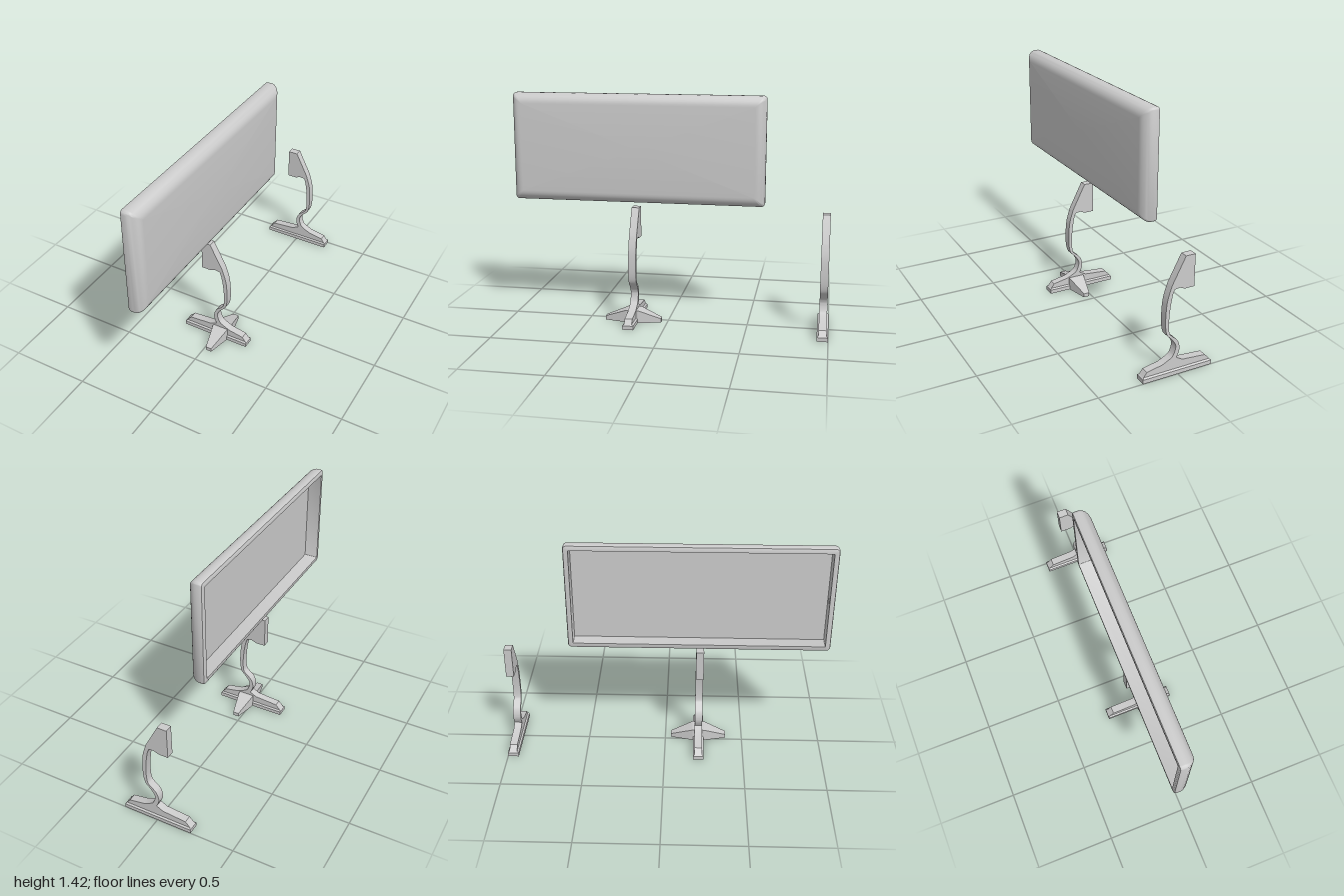
import * as THREE from 'three';
import { toCreasedNormals } from 'three/addons/utils/BufferGeometryUtils.js';
import { ConvexGeometry } from 'three/addons/geometries/ConvexGeometry.js';

const grey = new THREE.MeshStandardMaterial({ color: 0xcccccc });

function part(name, geometry) {
  const mesh = new THREE.Mesh(geometry, grey);
  mesh.name = name;
  return mesh;
}

// Hull of corner points, each mirrored to both sides in z
function mirroredHull(corners) {
  return new ConvexGeometry(corners.flatMap(([x, y, z]) =>
    [new THREE.Vector3(x, y, z), new THREE.Vector3(x, y, -z)]));
}

// Rounded rectangle across the panel at depth x, running anticlockwise from +x
function panelLoop(x, inset, radius) {
  const halfY = 0.339 - inset, halfZ = 0.795 - inset, steps = 5, loop = [];
  for (let corner = 0; corner < 4; corner++) {
    const right = corner === 0 || corner === 3 ? 1 : -1;
    const up = corner < 2 ? 1 : -1;
    for (let i = 0; i <= steps; i++) {
      const a = (corner + i / steps) * Math.PI / 2;
      loop.push([x,
        1.084 + up * (halfY - radius) + radius * Math.sin(a),
        0.205 - right * (halfZ - radius) - radius * Math.cos(a)]);
    }
  }
  return loop;
}

// Hollow panel shell: recess floor, recess wall, rim, rounded side, closed face
function panelGeometry() {
  const sections = [
    [-0.012, 0.032, 0.002], [-0.099, 0.032, 0.002], [-0.099, 0.012, 0.016],
    [-0.095, 0.004, 0.02], [-0.085, 0, 0.022],
  ];
  for (let i = 0; i <= 8; i++) {
    const a = i / 8 * Math.PI / 2;
    sections.push([-0.065 + 0.065 * Math.sin(a), 0.065 * (1 - Math.cos(a)), 0.022 - 0.002 * i]);
  }
  const loops = sections.map((s) => panelLoop(...s));
  const n = loops[0].length, positions = [];
  const tri = (...points) => points.forEach((p) => positions.push(...p));
  const first = loops[0], last = loops[loops.length - 1];
  for (let i = 0; i < n; i++) {
    const j = (i + 1) % n;
    tri([first[0][0], 1.084, 0.205], first[j], first[i]);
    for (let k = 0; k < loops.length - 1; k++) {
      tri(loops[k][i], loops[k][j], loops[k + 1][j]);
      tri(loops[k][i], loops[k + 1][j], loops[k + 1][i]);
    }
    tri([last[0][0], 1.084, 0.205], last[i], last[j]);
  }
  const geometry = new THREE.BufferGeometry();
  geometry.setAttribute('position', new THREE.Float32BufferAttribute(positions, 3));
  geometry.computeVertexNormals();
  return toCreasedNormals(geometry, 0.6);
}

// Stand silhouette: foot, S-shaped neck and bracket plate
function bracketGeometry() {
  const v = (points) => points.map(([x, y]) => new THREE.Vector2(x, y));
  const shape = new THREE.Shape();
  shape.moveTo(-0.215, 0.02);
  shape.lineTo(0.215, 0.02);
  shape.lineTo(0.215, 0.033);
  shape.lineTo(0.194, 0.061);
  shape.lineTo(0.096, 0.08);
  shape.lineTo(0.05, 0.102);
  shape.splineThru(v([[0.028, 0.12], [0.013, 0.162], [0.017, 0.192], [0.043, 0.228],
    [0.073, 0.264], [0.084, 0.34], [0.077, 0.463], [0.05, 0.557]]));
  shape.lineTo(-0.032, 0.716);
  shape.lineTo(-0.092, 0.716);
  shape.lineTo(-0.092, 0.522);
  shape.lineTo(-0.032, 0.522);
  shape.lineTo(0, 0.535);
  shape.lineTo(0.032, 0.531);
  shape.splineThru(v([[0.043, 0.5], [0.055, 0.433], [0.062, 0.343], [0.058, 0.275],
    [0.043, 0.249], [0.006, 0.215], [-0.01, 0.177], [-0.01, 0.14], [0.006, 0.102]]));
  shape.lineTo(-0.036, 0.079);
  shape.lineTo(-0.186, 0.066);
  shape.lineTo(-0.215, 0.033);
  const geometry = new THREE.ExtrudeGeometry(shape, { depth: 0.048, bevelEnabled: false, curveSegments: 4 });
  geometry.translate(0, 0, -0.024);
  return toCreasedNormals(geometry, 0.5);
}

function createStand(name, z) {
  const stand = new THREE.Group();
  stand.name = name;
  stand.position.z = z;
  stand.add(part('bracket', bracketGeometry()));
  // Plinth with a bevelled upper edge
  const corners = [-1, 1].flatMap((s) =>
    [[s * 0.223, 0, 0.034], [s * 0.223, 0.025, 0.034], [s * 0.215, 0.033, 0.024]]);
  stand.add(part('plinth', mirroredHull(corners)));
  return stand;
}

export function createModel() {
  const model = new THREE.Group();
  model.name = 'panelWithStands';
  model.add(part('panel', panelGeometry()));

  const mainStand = createStand('mainStand', 0.216);
  // Tapered feet reaching out to both sides of the main stand
  mainStand.add(part('crossFoot', mirroredHull([
    [-0.015, 0, 0.038], [0.085, 0, 0.038], [-0.015, 0.079, 0.038], [0.085, 0.079, 0.038],
    [0.016, 0, 0.178], [0.054, 0, 0.178], [0.016, 0.025, 0.178], [0.054, 0.025, 0.178],
  ])));
  model.add(mainStand, createStand('spareStand', -0.966));
  return model;
}
